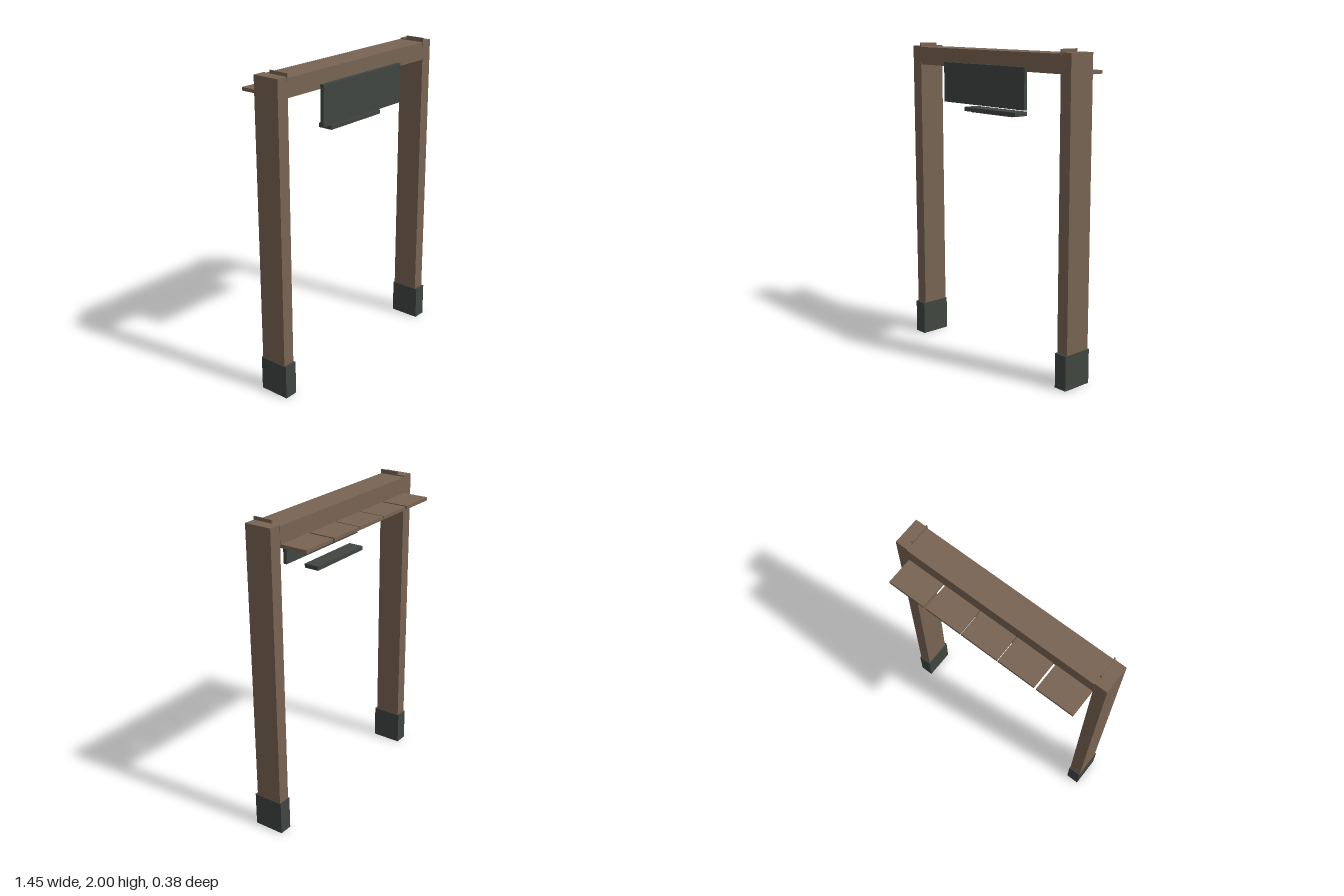
import * as THREE from 'three';

export function createModel() {
  const root = new THREE.Group();
  root.name = 'timberGateway';

  const wood = new THREE.MeshStandardMaterial({ color: 0x786453 });
  wood.name = 'brown timber';
  const iron = new THREE.MeshStandardMaterial({ color: 0x404641 });
  iron.name = 'dark green grey';

  // Box given by its limits on each axis
  function box(name, material, [x0, x1], [y0, y1], [z0, z1]) {
    const mesh = new THREE.Mesh(new THREE.BoxGeometry(x1 - x0, y1 - y0, z1 - z0), material);
    mesh.position.set((x0 + x1) / 2, (y0 + y1) / 2, (z0 + z1) / 2);
    mesh.name = name;
    root.add(mesh);
    return mesh;
  }

  // Posts, their footings and the thin plates at the beam ends
  for (const side of [-1, 1]) {
    const label = side > 0 ? 'left' : 'right';
    const span = (a, b) => (side > 0 ? [a, b] : [-b, -a]);
    box(label + 'Post', wood, span(0.641, 0.721), [0.2, 1.98], [-0.014, 0.163]);
    box(label + 'Footing', iron, span(0.638, 0.725), [0, 0.217], [-0.022, 0.178]);
    box(label + 'EndPlate', wood, span(0.639, 0.647), [1.95, 2], [0.035, 0.165]);
  }

  // Cross beam
  box('beam', wood, [-0.641, 0.641], [1.86, 1.973], [-0.016, 0.162]);

  // Canopy boards behind the beam, slightly unevenly spaced
  [-0.517, -0.256, -0.002, 0.252, 0.513].forEach((x, i) =>
    box('canopyBoard' + (i + 1), wood, [x - 0.123, x + 0.123], [1.847, 1.868], [-0.19, -0.005]));

  // Hanging sign board with corner studs
  box('signBoard', iron, [-0.37, 0.37], [1.637, 1.887], [0.163, 0.186]);
  for (const x of [-0.358, 0.358]) {
    for (const y of [1.655, 1.865]) {
      const stud = new THREE.Mesh(new THREE.CylinderGeometry(0.006, 0.006, 0.006, 8), iron);
      stud.rotation.x = Math.PI / 2;
      stud.position.set(x, y, 0.187);
      stud.name = 'signStud';
      root.add(stud);
    }
  }

  // Lamp bar below the sign, with its lower panel
  box('lampBar', iron, [-0.235, 0.235], [1.583, 1.609], [0.033, 0.133]);
  box('lampPanel', wood, [-0.187, 0.187], [1.577, 1.584], [0.053, 0.113]);

  return root;
}
